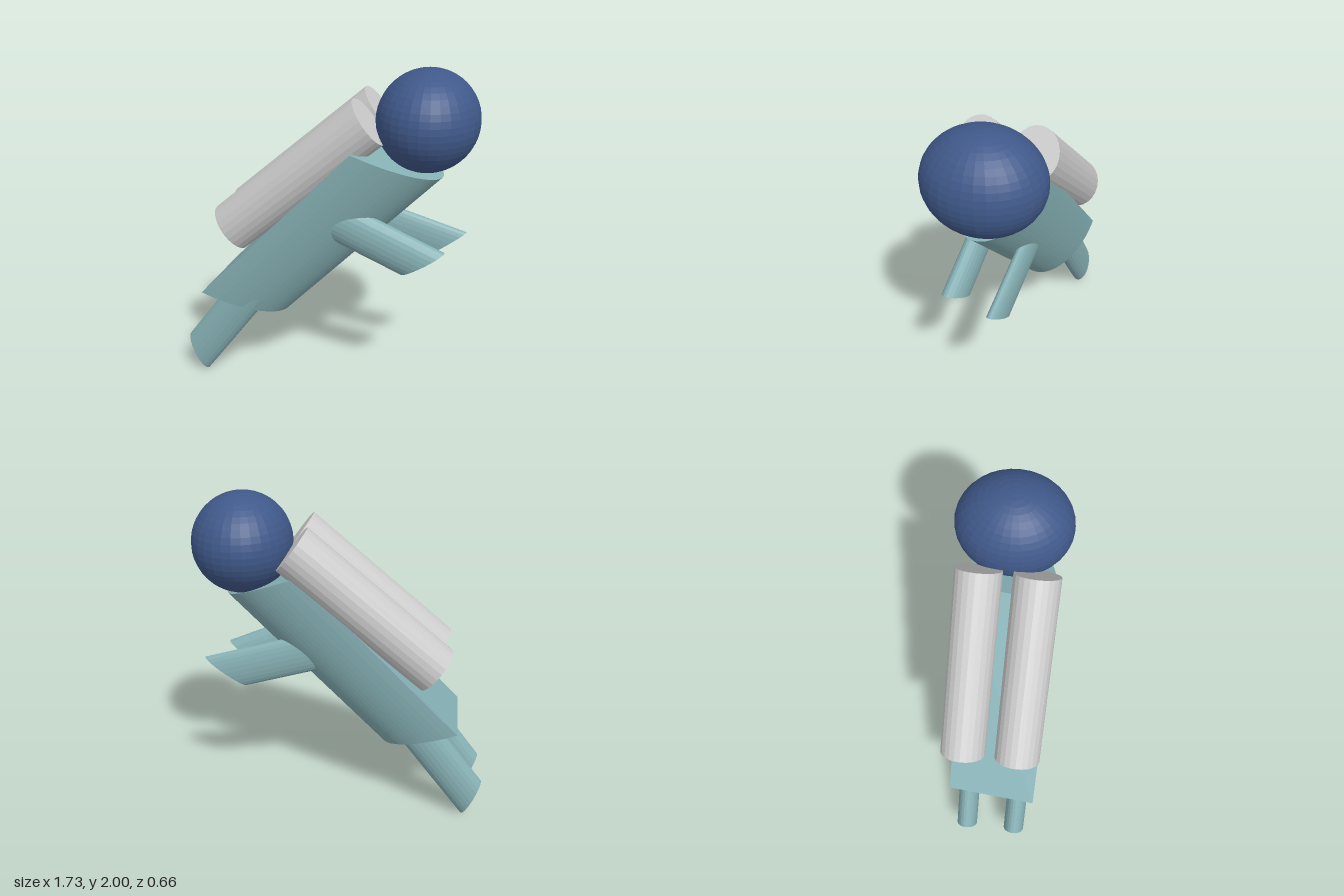
import * as THREE from 'three';

const material = (color) => new THREE.MeshStandardMaterial({ color, flatShading: true });
const suit = material(0x86b0b4);
const helmet = material(0x40598a);
const grey = material(0xcccccc);

// Slanted cylinder: end centres a and b, half-diameter [x, y] of the ends, and half-width in z
function slantedCylinder(name, mat, a, b, half, width, z, sides = 24) {
  const u = new THREE.Vector3(half[0], half[1], 0);
  const axis = new THREE.Vector3(b[0] - a[0], b[1] - a[1], 0);
  if (u.x * axis.y - u.y * axis.x < 0) u.negate(); // keep faces pointing outward
  const m = new THREE.Matrix4().makeBasis(u, axis, new THREE.Vector3(0, 0, width));
  m.setPosition((a[0] + b[0]) / 2, (a[1] + b[1]) / 2, z);
  const mesh = new THREE.Mesh(new THREE.CylinderGeometry(1, 1, 1, sides).applyMatrix4(m), mat);
  mesh.name = name;
  return mesh;
}

export function createModel() {
  const group = new THREE.Group();
  group.name = 'flyingFigure';

  // Torso: half-round section with a flat back, swept along a slanted axis
  const section = new THREE.Shape();
  section.absarc(0, 0, 1, -Math.PI / 2, Math.PI / 2, false);
  section.closePath();
  const torsoGeometry = new THREE.ExtrudeGeometry(section, { depth: 1, bevelEnabled: false, curveSegments: 20 });
  const m = new THREE.Matrix4().makeBasis(
    new THREE.Vector3(0.46, -0.17, 0),
    new THREE.Vector3(0.015, 0.01, -0.26),
    new THREE.Vector3(0.925, 0.957, 0)
  );
  m.setPosition(-0.705, 0.62, 0.02);
  const torso = new THREE.Mesh(torsoGeometry.applyMatrix4(m), suit);
  torso.name = 'torso';
  group.add(torso);

  // Head: sphere widened sideways
  const head = new THREE.Mesh(new THREE.SphereGeometry(1, 32, 24), helmet);
  head.name = 'head';
  head.scale.set(0.287, 0.285, 0.33);
  head.position.set(0.575, 1.715, -0.003);
  group.add(head);

  // Twin tanks on the back
  for (const [name, z] of [['leftTank', 0.155], ['rightTank', -0.16]]) {
    group.add(slantedCylinder(name, grey, [-0.55, 1.018], [0.275, 1.725], [0.09, -0.12], 0.13, z));
  }

  // Legs, running up into the torso
  for (const [name, z] of [['leftLeg', 0.178], ['rightLeg', -0.134]]) {
    group.add(slantedCylinder(name, suit, [-0.808, 0.125], [-0.304, 0.797], [0.057, -0.12], 0.065, z));
  }

  // Arms, reaching forward from inside the torso
  group.add(slantedCylinder('leftArm', suit, [0.02, 1.175], [0.61, 0.93], [0.12, 0.08], 0.064, 0.179));
  group.add(slantedCylinder('rightArm', suit, [0.16, 1.09], [0.7, 0.94], [0.12, 0.09], 0.043, -0.11));

  return group;
}
